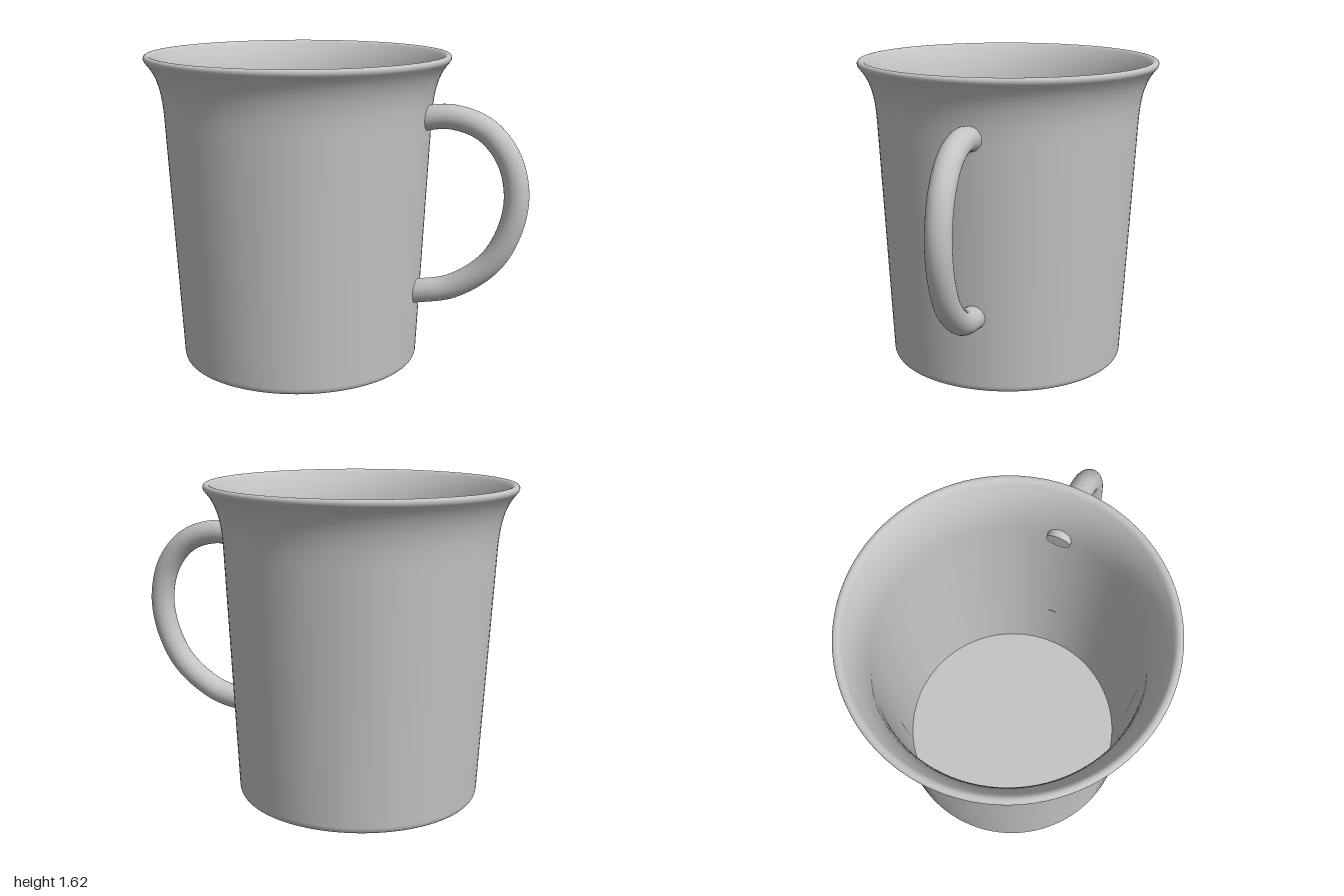
import * as THREE from 'three';

const CENTRE_X = -0.213;
const SEGMENTS = 96;

export function createModel() {
  const enamel = new THREE.MeshStandardMaterial({ color: 0xc4c4c4 });
  enamel.name = 'greyEnamel';

  const model = new THREE.Group();
  model.name = 'mug';
  const cup = new THREE.Group();
  cup.name = 'cup';
  cup.position.x = CENTRE_X;
  model.add(cup);

  const add = (parent, name, geometry) => {
    const mesh = new THREE.Mesh(geometry, enamel);
    mesh.name = name;
    parent.add(mesh);
    return mesh;
  };

  // Thin wall: rounded foot, tapered outside, flared lip, and back down the inside
  const profile = new THREE.Path();
  profile.moveTo(0.6, 0);
  profile.quadraticCurveTo(0.626, 0.002, 0.629, 0.035);
  profile.lineTo(0.692, 1.3);
  profile.bezierCurveTo(0.699, 1.43, 0.718, 1.52, 0.779, 1.588);
  profile.bezierCurveTo(0.793, 1.603, 0.789, 1.624, 0.77, 1.624);
  profile.bezierCurveTo(0.755, 1.624, 0.748, 1.612, 0.742, 1.604);
  profile.bezierCurveTo(0.69, 1.53, 0.664, 1.43, 0.657, 1.3);
  profile.lineTo(0.588, 0.035);
  add(cup, 'wall', new THREE.LatheGeometry(profile.getPoints(10), SEGMENTS));

  // Underside and inner floor discs
  const underside = add(cup, 'underside', new THREE.CircleGeometry(0.6, SEGMENTS));
  underside.rotation.x = Math.PI / 2;
  const floor = add(cup, 'innerFloor', new THREE.CircleGeometry(0.588, SEGMENTS));
  floor.rotation.x = -Math.PI / 2;
  floor.position.y = 0.035;

  // Round handle whose ends pass through the wall
  const handle = new THREE.Group();
  handle.name = 'handle';
  model.add(handle);
  const path = new THREE.CatmullRomCurve3([
    [0.42, 1.312], [0.6, 1.332], [0.77, 1.277], [0.89, 1.14], [0.937, 0.95],
    [0.905, 0.76], [0.81, 0.59], [0.62, 0.452], [0.41, 0.402],
  ].map(([x, y]) => new THREE.Vector3(x, y, 0)));
  const radius = 0.0625;
  add(handle, 'handleBar', new THREE.TubeGeometry(path, 80, radius, 32));

  // Flat caps on both handle ends
  for (const [name, t, sign] of [['upperHandleEnd', 0, -1], ['lowerHandleEnd', 1, 1]]) {
    const cap = add(handle, name, new THREE.CircleGeometry(radius, 32));
    const outward = path.getTangentAt(t).multiplyScalar(sign);
    cap.position.copy(path.getPointAt(t));
    cap.quaternion.setFromUnitVectors(new THREE.Vector3(0, 0, 1), outward);
  }
  return model;
}
